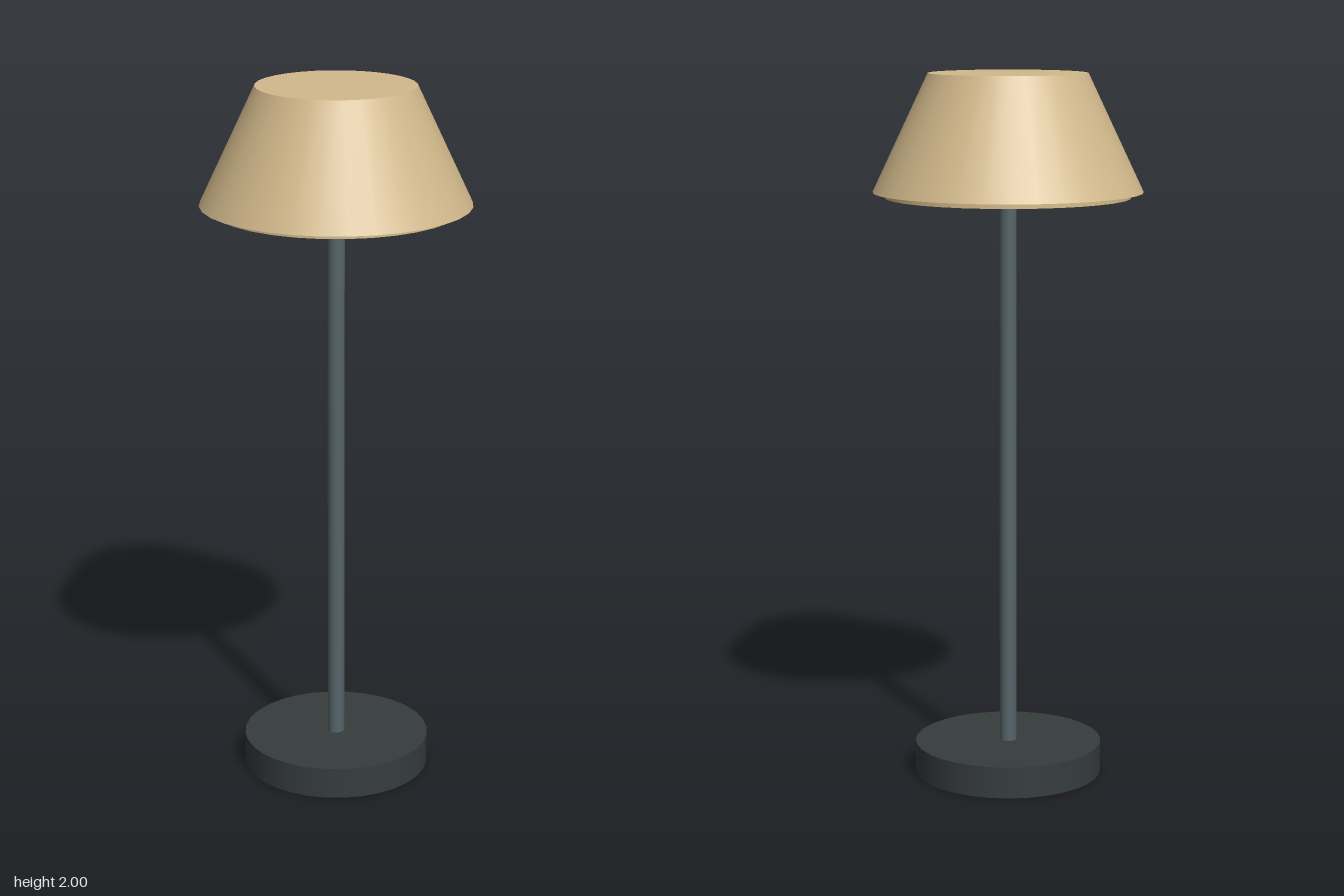
import * as THREE from 'three';

const SEGMENTS = 32;

// Upright solid of revolution between two heights
function addRound(group, name, color, topRadius, bottomRadius, y0, y1) {
  const geometry = new THREE.CylinderGeometry(topRadius, bottomRadius, y1 - y0, SEGMENTS);
  const mesh = new THREE.Mesh(geometry, new THREE.MeshStandardMaterial({ color }));
  mesh.name = name;
  mesh.position.y = (y0 + y1) / 2;
  group.add(mesh);
}

export function createModel() {
  const lamp = new THREE.Group();
  lamp.name = 'tableLamp';

  // Heavy round foot and slim stem
  addRound(lamp, 'base', 0x363c3c, 0.267, 0.267, 0, 0.09);
  addRound(lamp, 'stem', 0x566469, 0.024, 0.024, 0.09, 1.67);

  // Closed tapered shade with a diffuser disc just below its rim
  addRound(lamp, 'shade', 0xd2b98b, 0.222, 0.377, 1.672, 2);
  addRound(lamp, 'diffuser', 0xd8bd8c, 0.343, 0.343, 1.657, 1.69);

  return lamp;
}
